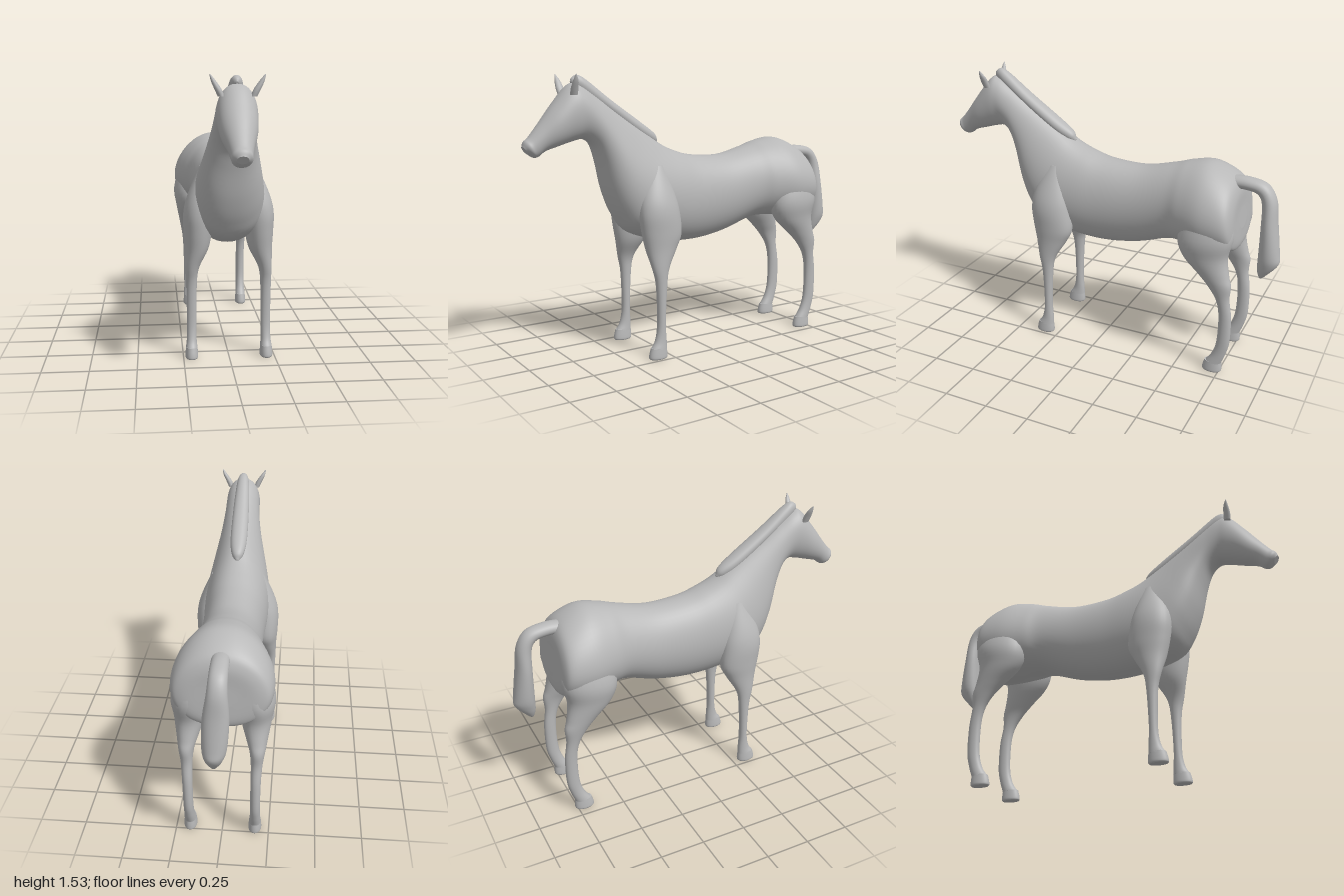
import * as THREE from 'three';

const coat = new THREE.MeshStandardMaterial({ color: 0xb8b8b8 });
coat.name = 'grey coat';

// Skins a smooth surface over oval sections.
// Section: [zA, yA, zB, yB, centreX, halfWidth, bias]; A and B are opposite ends of the oval,
// and a positive bias moves its widest place towards B.
function loft(name, sections, side = 1, steps = 5, around = 32) {
  const curve = (f) => new THREE.CatmullRomCurve3(sections.map(f), false, 'catmullrom', 0.5);
  const ends = curve((s) => new THREE.Vector3(0, s[1], s[0]));
  const ends2 = curve((s) => new THREE.Vector3(0, s[3], s[2]));
  const widths = curve((s) => new THREE.Vector3(s[4] * side, s[5], s[6] || 0));
  const rows = (sections.length - 1) * steps;
  const pos = [], index = [];
  const ring = (i) => {
    const a = ends.getPoint(i / rows), b = ends2.getPoint(i / rows), w = widths.getPoint(i / rows);
    const mid = a.clone().add(b).multiplyScalar(0.5), half = a.clone().sub(b).multiplyScalar(0.5);
    for (let j = 0; j < around; j++) {
      const t = (j / around) * Math.PI * 2;
      const c = Math.sign(Math.cos(t)) * Math.abs(Math.cos(t)) ** 0.92;
      const s = Math.sin(t);
      pos.push(w.x + w.y * c * (1 - w.z * s), mid.y + half.y * s, mid.z + half.z * s);
    }
    return [w.x, mid.y, mid.z];
  };
  for (let i = 0; i <= rows; i++) ring(i);
  for (let i = 0; i < rows; i++) {
    for (let j = 0; j < around; j++) {
      const k = (j + 1) % around, p = i * around, q = p + around;
      index.push(p + j, p + k, q + k, p + j, q + k, q + j);
    }
  }
  // Flat end caps on their own vertices, so their rims stay sharp
  for (const i of [0, rows]) {
    const first = pos.length / 3;
    pos.push(...ring(i));
    for (let j = 0; j < around; j++) {
      const p = first + j, q = first + ((j + 1) % around);
      index.push(first + around, ...(i ? [p, q] : [q, p]));
    }
  }
  const geometry = new THREE.BufferGeometry();
  geometry.setAttribute('position', new THREE.Float32BufferAttribute(pos, 3));
  geometry.setIndex(index);
  geometry.computeVertexNormals();
  const mesh = new THREE.Mesh(geometry, coat);
  mesh.name = name;
  return mesh;
}

// Rump to muzzle, A along the back and B along the belly
const body = [
  [-0.775, 0.94, -0.787, 0.82, 0, 0.07, 0],
  [-0.765, 1.04, -0.787, 0.73, 0, 0.195, 0.05],
  [-0.72, 1.11, -0.75, 0.7, 0, 0.25, 0.1],
  [-0.6, 1.165, -0.62, 0.69, 0, 0.257, 0.15],
  [-0.48, 1.15, -0.48, 0.7, 0, 0.22, 0.12],
  [-0.38, 1.12, -0.38, 0.69, 0, 0.185, 0.05],
  [-0.2, 1.08, -0.2, 0.63, 0, 0.172, 0],
  [0, 1.088, 0, 0.6, 0, 0.175, 0],
  [0.12, 1.12, 0.2, 0.615, 0, 0.185, 0.05],
  [0.2, 1.155, 0.4, 0.675, 0, 0.188, 0.12],
  [0.27, 1.2, 0.48, 0.77, 0, 0.175, 0.18],
  [0.36, 1.26, 0.535, 0.9, 0, 0.152, 0.2],
  [0.48, 1.34, 0.575, 1.06, 0, 0.122, 0.15],
  [0.6, 1.425, 0.61, 1.155, 0, 0.105, 0.08],
  [0.69, 1.48, 0.665, 1.198, 0, 0.1, 0],
  [0.745, 1.48, 0.73, 1.19, 0, 0.1, 0],
  [0.83, 1.385, 0.81, 1.167, 0, 0.09, 0],
  [0.91, 1.285, 0.88, 1.145, 0, 0.066, 0],
  [0.965, 1.22, 0.92, 1.118, 0, 0.053, 0],
  [0.99, 1.198, 0.945, 1.116, 0, 0.049, 0],
  [1.0, 1.172, 0.975, 1.135, 0, 0.028, 0],
];

// Legs from inside the body down, A in front and B behind
const foreleg = [
  [0.34, 1.05, 0.24, 1.05, 0.11, 0.045],
  [0.4, 0.9, 0.2, 0.9, 0.147, 0.073],
  [0.415, 0.8, 0.18, 0.8, 0.163, 0.081],
  [0.405, 0.7, 0.17, 0.68, 0.167, 0.076],
  [0.385, 0.6, 0.205, 0.6, 0.174, 0.063],
  [0.362, 0.5, 0.262, 0.5, 0.198, 0.037],
  [0.342, 0.4, 0.28, 0.4, 0.203, 0.029],
  [0.336, 0.2, 0.29, 0.2, 0.203, 0.026],
  [0.35, 0.105, 0.285, 0.1, 0.204, 0.027],
  [0.378, 0.055, 0.284, 0.055, 0.205, 0.032],
];
const hindLeg = [
  [-0.53, 0.98, -0.76, 0.98, 0.14, 0.08],
  [-0.48, 0.8, -0.785, 0.82, 0.165, 0.102],
  [-0.51, 0.69, -0.76, 0.7, 0.17, 0.084],
  [-0.6, 0.6, -0.775, 0.6, 0.178, 0.058],
  [-0.665, 0.53, -0.791, 0.54, 0.183, 0.041],
  [-0.715, 0.45, -0.787, 0.46, 0.181, 0.03],
  [-0.733, 0.35, -0.802, 0.35, 0.178, 0.027],
  [-0.73, 0.2, -0.802, 0.2, 0.177, 0.026],
  [-0.708, 0.115, -0.785, 0.12, 0.176, 0.027],
  [-0.67, 0.055, -0.762, 0.055, 0.175, 0.032],
];
const hoof = (front, back, x) => [
  [front - 0.012, 0.062, back + 0.003, 0.062, x, 0.031],
  [front - 0.003, 0.03, back, 0.03, x, 0.034],
  [front, 0.008, back, 0.008, x, 0.035],
  [front - 0.006, 0, back + 0.005, 0, x, 0.031],
];

// Ear from the poll up, A behind and B in front
const ear = [
  [0.725, 1.43, 0.765, 1.43, 0.078, 0.016],
  [0.728, 1.465, 0.768, 1.46, 0.092, 0.017],
  [0.735, 1.5, 0.765, 1.495, 0.112, 0.013],
  [0.748, 1.525, 0.76, 1.523, 0.126, 0.006],
  [0.753, 1.535, 0.756, 1.535, 0.131, 0.001],
];

// Mane along the crest, A on top and B inside the neck
const mane = [
  [0.215, 1.172, 0.22, 1.155, 0, 0.008],
  [0.235, 1.215, 0.27, 1.165, 0, 0.034],
  [0.32, 1.277, 0.36, 1.215, 0, 0.048],
  [0.5, 1.4, 0.53, 1.335, 0, 0.046],
  [0.64, 1.505, 0.65, 1.42, 0, 0.038],
  [0.69, 1.53, 0.69, 1.45, 0, 0.03],
  [0.72, 1.518, 0.715, 1.47, 0, 0.018],
  [0.73, 1.5, 0.725, 1.485, 0, 0.006],
];

// Tail arching back and down, A inside and B outside the curve
const tail = [
  [-0.7, 1.04, -0.7, 1.105, 0, 0.045],
  [-0.8, 1.037, -0.8, 1.107, 0, 0.046],
  [-0.855, 1.022, -0.9, 1.082, 0, 0.047],
  [-0.88, 0.97, -0.955, 1.0, 0.002, 0.052],
  [-0.885, 0.84, -0.972, 0.87, 0.008, 0.066],
  [-0.884, 0.68, -0.995, 0.71, 0.015, 0.062],
  [-0.884, 0.6, -0.997, 0.645, 0.019, 0.044],
  [-0.895, 0.557, -0.94, 0.575, 0.022, 0.018],
  [-0.905, 0.545, -0.912, 0.547, 0.023, 0.003],
];

export function createModel() {
  const horse = new THREE.Group();
  horse.name = 'horse';
  horse.add(loft('body', body, 1, 6, 48), loft('mane', mane), loft('tail', tail));
  for (const [side, label] of [[1, 'left'], [-1, 'right']]) {
    horse.add(
      loft(label + 'Foreleg', foreleg, side),
      loft(label + 'HindLeg', hindLeg, side),
      loft(label + 'ForeHoof', hoof(0.39, 0.282, 0.205), side),
      loft(label + 'HindHoof', hoof(-0.655, -0.765, 0.175), side),
      loft(label + 'Ear', ear, side, 4, 16),
    );
  }
  return horse;
}
